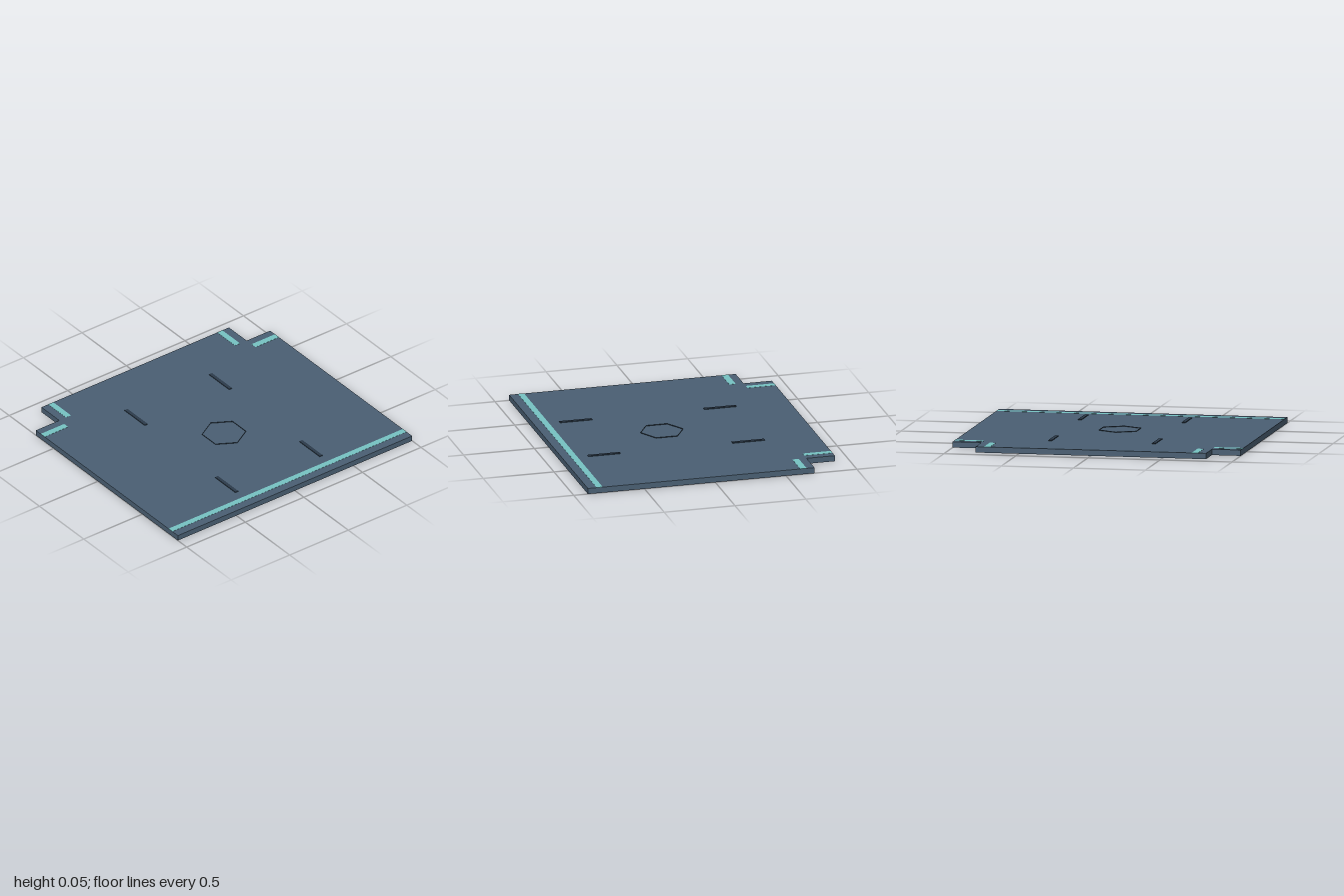
import * as THREE from 'three';

export function createModel() {
  const group = new THREE.Group();
  const mat = (name, color, extra = {}) =>
    Object.assign(new THREE.MeshStandardMaterial({ color, ...extra }), { name });
  const slate = mat('slate', 0x4a5f73);
  const teal = mat('teal', 0x76c3c3);
  const dark = mat('darkSlate', 0x2c3b4b);
  const darkOpen = dark;
  darkOpen.side = THREE.DoubleSide;

  const TOP = 0.04;

  const add = (name, geometry, material) => {
    const mesh = new THREE.Mesh(geometry, material);
    mesh.name = name;
    group.add(mesh);
    return mesh;
  };

  // Thin plate lying on the deck, given by its x and z extents
  const plate = (name, x0, x1, z0, z1, height, material) => {
    const mesh = add(name, new THREE.BoxGeometry(x1 - x0, height, z1 - z0), material);
    mesh.position.set((x0 + x1) / 2, TOP + height / 2, (z0 + z1) / 2);
  };

  // Deck slab with notched back corners (shape y becomes -z)
  const outline = new THREE.Shape([
    [-1, -0.9], [1, -0.9], [1, 0.7], [0.8, 0.7],
    [0.8, 0.9], [-0.8, 0.9], [-0.8, 0.7], [-1, 0.7],
  ].map(([x, y]) => new THREE.Vector2(x, y)));
  const slab = new THREE.ExtrudeGeometry(outline, { depth: TOP, bevelEnabled: false });
  slab.rotateX(-Math.PI / 2);
  add('deck', slab, slate);

  // Stripe along the front edge
  plate('frontStripe', -1, 1, 0.795, 0.838, 0.001, teal);

  for (const [side, s] of [['left', 1], ['right', -1]]) {
    const span = (a, b) => (s > 0 ? [a, b] : [-b, -a]);
    // Stripes around the notched corners
    plate(side + 'CornerStripe', ...span(0.8, 1), -0.645, -0.6, 0.001, teal);
    plate(side + 'TabStripe', ...span(0.7, 0.743), -0.9, -0.7, 0.001, teal);
    // Raised guide bars
    const cx = s > 0 ? 0.358 : -0.362;
    plate(side + 'BackBar', cx - 0.0125, cx + 0.0125, -0.525, -0.298, 0.005, dark);
    plate(side + 'FrontBar', cx - 0.0125, cx + 0.0125, 0.493, 0.722, 0.005, dark);
  }

  // Open hexagonal rim in the middle
  const rim = add('hexagonRim', new THREE.CylinderGeometry(0.15, 0.15, 0.005, 6, 1, true), darkOpen);
  rim.position.set(0, TOP + 0.0025, 0.1);

  return group;
}
